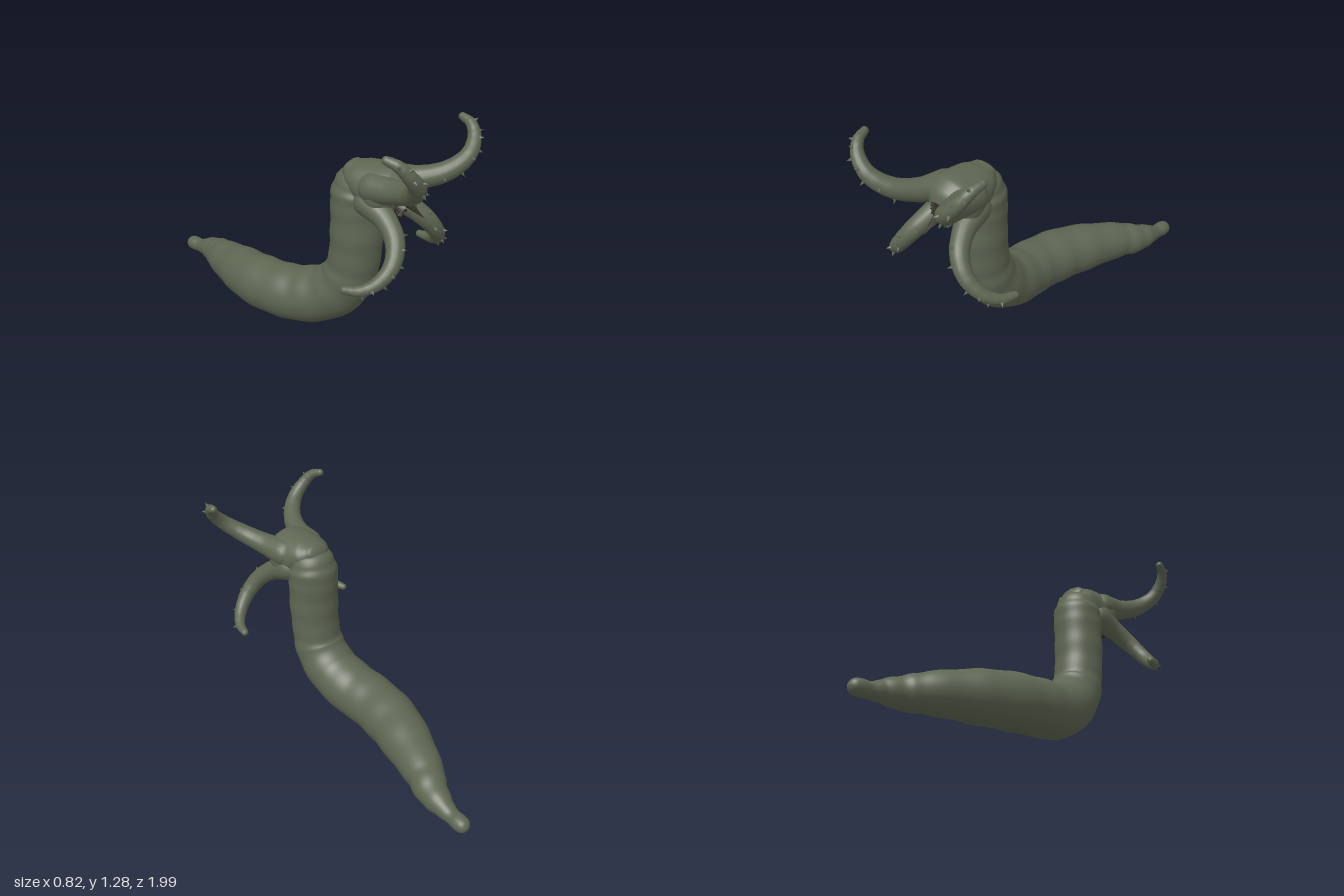
import * as THREE from 'three';

const skin = new THREE.MeshStandardMaterial({ color: 0x5e6652 });
skin.name = 'olive skin';
const maw = new THREE.MeshStandardMaterial({ color: 0x3a3628, side: THREE.DoubleSide });
maw.name = 'dark mouth';
const horn = new THREE.MeshStandardMaterial({ color: 0x38352b });
horn.name = 'dark horn';

const V = (x, y, z) => new THREE.Vector3(x, y, z);

// Smooth tube through sections [x, y, z, rx, ry]; cap = dome height factor at start and end
function loft(sections, { steps = 60, sides = 28, capStart = 1, capEnd = 1, ripple = () => 1 } = {}) {
  const path = new THREE.CatmullRomCurve3(sections.map(s => V(s[0], s[1], s[2])));
  const size = new THREE.CatmullRomCurve3(sections.map((s, i) => V(s[3], s[4] ?? s[3], i * 0.1)));
  const pos = [], index = [], n = V(1, 0, 0), b = V(0, 0, 0);
  let rings = 0;
  const ring = (c, rx, ry) => {
    for (let j = 0; j < sides; j++) {
      const a = (j / sides) * Math.PI * 2;
      const p = c.clone().addScaledVector(n, Math.cos(a) * rx).addScaledVector(b, Math.sin(a) * ry);
      pos.push(p.x, p.y, p.z);
    }
    rings++;
  };
  const dome = (c, t, r, height, start) => {
    for (let k = 0; k < 6; k++) {
      const a = ((start ? 6 - k : k + 1) / 6) * Math.PI / 2;
      const f = Math.max(Math.cos(a), 0.005);
      const shift = Math.sin(a) * Math.min(r.x, r.y) * height * (start ? -1 : 1);
      ring(c.clone().addScaledVector(t, shift), r.x * f, r.y * f);
    }
  };
  for (let i = 0; i <= steps; i++) {
    const u = i / steps, c = path.getPoint(u), t = path.getTangent(u);
    n.addScaledVector(t, -n.dot(t)).normalize();
    b.crossVectors(t, n);
    const r = size.getPoint(u).multiplyScalar(ripple(u));
    if (i === 0 && capStart) dome(c, t, r, capStart, true);
    ring(c, r.x, r.y);
    if (i === steps && capEnd) dome(c, t, r, capEnd, false);
  }
  for (let i = 0; i < rings - 1; i++) {
    for (let j = 0; j < sides; j++) {
      const k = (j + 1) % sides, p = i * sides, q = p + sides;
      index.push(p + j, p + k, q + k, p + j, q + k, q + j);
    }
  }
  const g = new THREE.BufferGeometry();
  g.setAttribute('position', new THREE.Float32BufferAttribute(pos, 3));
  g.setIndex(index);
  g.computeVertexNormals();
  return g;
}

function add(parent, name, geometry, material) {
  const mesh = new THREE.Mesh(geometry, material);
  mesh.name = name;
  parent.add(mesh);
  return mesh;
}

// Cone from a base point along a direction
function spike(parent, name, base, dir, radius, length, material, sides = 6) {
  const g = new THREE.ConeGeometry(radius, length, sides).translate(0, length / 2, 0);
  const m = add(parent, name, g, material);
  m.position.copy(base);
  m.quaternion.setFromUnitVectors(V(0, 1, 0), dir.clone().normalize());
  return m;
}

// Curled feeler with thorns along the outside of its bend
function tentacle(name, sections, side) {
  const group = new THREE.Group();
  group.name = name;
  const pts = sections.map(([x, y, z, r]) => [x * side, y, z, r]);
  add(group, name + 'Arm', loft(pts, {
    steps: 48, sides: 18, ripple: u => 1 + 0.025 * u * Math.sin(u * 75),
  }), skin);
  const path = new THREE.CatmullRomCurve3(pts.map(p => V(p[0], p[1], p[2])));
  const hub = path.getPoint(0.1).add(path.getPoint(1)).multiplyScalar(0.5);
  [0.3, 0.4, 0.49, 0.57, 0.65, 0.74, 0.83].forEach((u, i) => {
    const c = path.getPoint(u), t = path.getTangent(u);
    const f = u * (pts.length - 1), k = Math.floor(f);
    const r = THREE.MathUtils.lerp(pts[k][3], pts[k + 1][3], f - k);
    const out = c.clone().sub(hub);
    out.addScaledVector(t, -out.dot(t)).normalize();
    out.addScaledVector(t.clone().cross(out), i % 2 ? 0.45 : -0.45).normalize();
    spike(group, 'thorn', c.addScaledVector(out, r * 0.85), out, 0.011, 0.034 - 0.012 * u, skin);
  });
  return group;
}

export function createModel() {
  const model = new THREE.Group();
  model.name = 'wormCreature';

  // Body: from the tail nub along the ground and up the neck
  add(model, 'body', loft([
    [0.26, 0.08, -0.955, 0.044], [0.25, 0.083, -0.87, 0.046], [0.24, 0.097, -0.8, 0.066],
    [0.21, 0.11, -0.7, 0.09], [0.155, 0.127, -0.6, 0.108], [0.07, 0.15, -0.4, 0.138],
    [0, 0.165, -0.2, 0.155], [-0.03, 0.18, 0, 0.158], [-0.02, 0.205, 0.17, 0.16],
    [-0.005, 0.28, 0.33, 0.155], [0, 0.4, 0.425, 0.148], [0, 0.5, 0.45, 0.14],
    [0, 0.65, 0.462, 0.142], [0, 0.8, 0.46, 0.142], [0, 0.9, 0.46, 0.143], [0, 0.96, 0.465, 0.125],
  ], {
    steps: 170, sides: 40, capEnd: 0.6,
    ripple: u => 1 + (0.012 + 0.022 * Math.max(0, 1 - u * 2.2)) * Math.sin(u * 95),
  }), skin);

  // Head: rounded crown widening forward to the open mouth
  add(model, 'head', loft([
    [0, 1.03, 0.415, 0.075, 0.05], [0, 1.005, 0.46, 0.118, 0.088], [0, 0.97, 0.55, 0.145, 0.13],
    [0, 0.945, 0.63, 0.16, 0.15], [0, 0.93, 0.68, 0.138, 0.13], [0, 0.912, 0.72, 0.075, 0.078],
  ], { steps: 40, sides: 36, capStart: 0.5, capEnd: 0 }), skin);

  // Mouth cavity with a ragged ring of small teeth
  add(model, 'mouthCavity', loft([
    [0, 0.912, 0.721, 0.076, 0.079], [0, 0.915, 0.68, 0.062, 0.066], [0, 0.918, 0.635, 0.035, 0.04],
  ], { steps: 10, sides: 28, capStart: 0, capEnd: 0.3 }), maw);
  for (let i = 0; i < 18; i++) {
    const a = (i / 18) * Math.PI * 2;
    const dir = V(-Math.cos(a), -Math.sin(a), 0.5);
    spike(model, 'tooth', V(Math.cos(a) * 0.072, 0.912 + Math.sin(a) * 0.075, 0.718), dir, 0.01, 0.024, horn, 5);
  }

  // Beak: four-sided spike pointing forward and down
  const beakBase = V(0, 0.945, 0.69), beakTip = V(0, 0.85, 0.845);
  const beakDir = beakTip.clone().sub(beakBase);
  spike(model, 'beak', beakBase, beakDir, 0.042, beakDir.length(), horn, 4);

  // Four feelers, mirrored left and right
  const upper = [
    [0.09, 0.985, 0.6, 0.08], [0.125, 1.005, 0.74, 0.062], [0.185, 1.05, 0.86, 0.052],
    [0.265, 1.12, 0.925, 0.043], [0.335, 1.195, 0.92, 0.035], [0.372, 1.25, 0.88, 0.028],
    [0.388, 1.272, 0.825, 0.021],
  ];
  const lower = [
    [0.08, 0.9, 0.57, 0.08], [0.115, 0.845, 0.69, 0.058], [0.165, 0.77, 0.775, 0.05],
    [0.235, 0.68, 0.805, 0.043], [0.31, 0.605, 0.775, 0.035], [0.365, 0.565, 0.71, 0.028],
    [0.388, 0.556, 0.635, 0.021],
  ];
  for (const [label, side] of [['left', 1], ['right', -1]]) {
    model.add(tentacle(label + 'UpperFeeler', upper, side));
    model.add(tentacle(label + 'LowerFeeler', lower, side));
  }
  return model;
}
